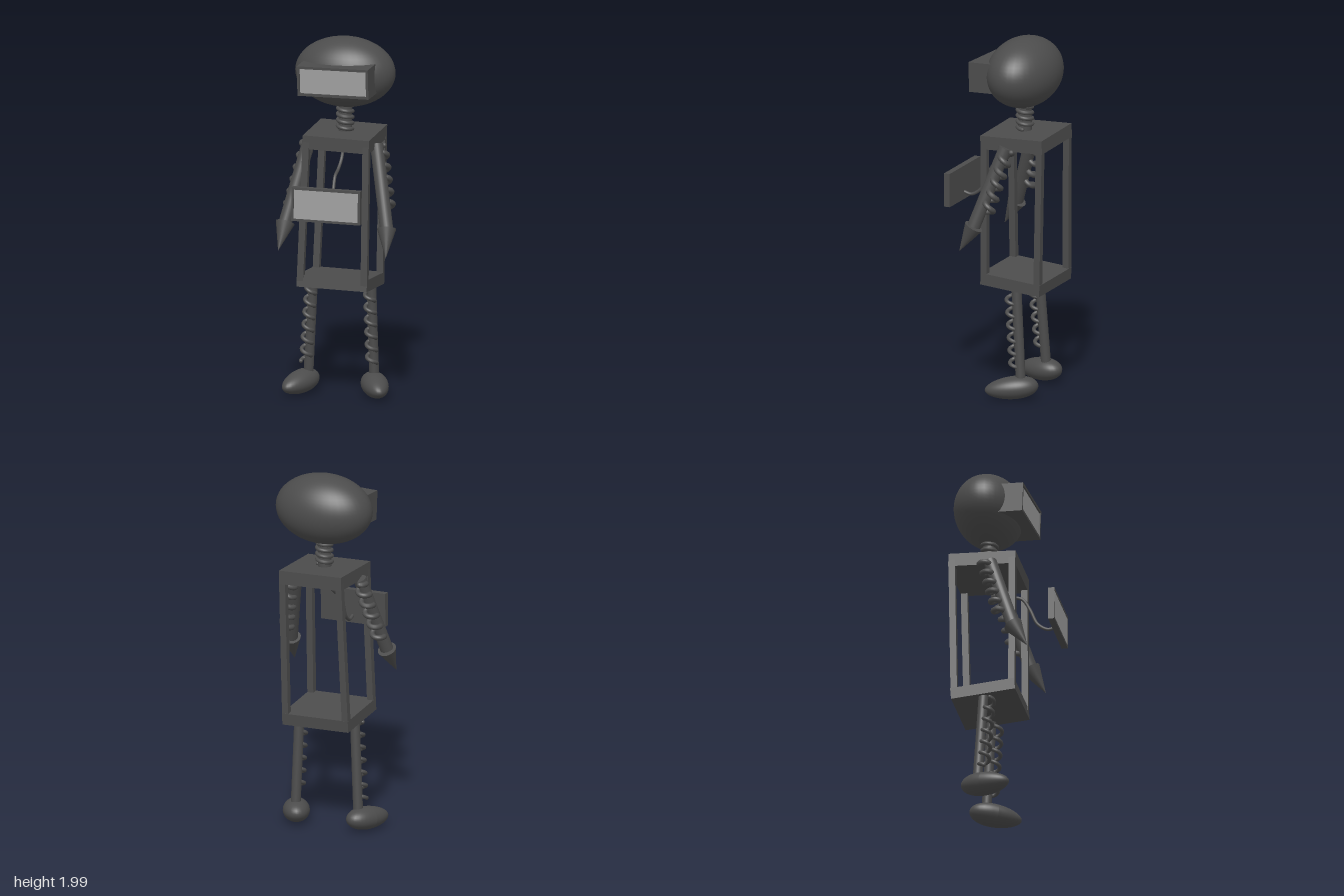
import * as THREE from 'three';

const V = (x, y, z) => new THREE.Vector3(x, y, z);
const UP = V(0, 1, 0);

export function createModel() {
  const model = new THREE.Group();
  model.name = 'robot';

  const dark = new THREE.MeshStandardMaterial({ color: 0x4c4c4c });
  dark.name = 'dark grey';
  const light = new THREE.MeshStandardMaterial({ color: 0xa0a0a0 });
  light.name = 'screen grey';

  const add = (name, geometry, material = dark, parent = model) => {
    const mesh = new THREE.Mesh(geometry, material);
    mesh.name = name;
    parent.add(mesh);
    return mesh;
  };

  // Places a geometry built along y so that it runs from a to b
  const span = (name, a, b, make, yaw = 0) => {
    const dir = b.clone().sub(a);
    const mesh = add(name, make(dir.length()));
    mesh.position.copy(a).lerp(b, 0.5);
    mesh.quaternion.setFromUnitVectors(UP, dir.normalize());
    mesh.rotateY(yaw);
    return mesh;
  };
  const rod = (name, a, b, r) => span(name, a, b, (h) => new THREE.CylinderGeometry(r, r, h, 24));

  // Spring wound around the line from a to b, with rounded ends
  const spring = (name, a, b, radius, turns, wire, phase = 0) => {
    const q = new THREE.Quaternion().setFromUnitVectors(UP, b.clone().sub(a).normalize());
    const points = [];
    const n = Math.round(turns * 12);
    for (let i = 0; i <= n; i++) {
      const t = i / n, w = phase + t * turns * Math.PI * 2;
      points.push(V(Math.cos(w) * radius, 0, Math.sin(w) * radius).applyQuaternion(q).add(a.clone().lerp(b, t)));
    }
    const group = new THREE.Group();
    group.name = name;
    model.add(group);
    const path = new THREE.CatmullRomCurve3(points);
    add(name + 'Wire', new THREE.TubeGeometry(path, n * 2, wire, 10), dark, group);
    for (const p of [points[0], points[n]]) {
      add(name + 'End', new THREE.SphereGeometry(wire, 10, 8), dark, group).position.copy(p);
    }
  };

  // Framed screen: solid body, raised rim with a hole, light plate inside
  const framedScreen = (name, w, h, depth, border, rim) => {
    const group = new THREE.Group();
    group.name = name;
    model.add(group);
    add(name + 'Body', new THREE.BoxGeometry(w, h, depth - rim), dark, group).position.z = -(depth + rim) / 2;
    const rect = (target, x, y) => {
      target.moveTo(-x, -y);
      target.lineTo(x, -y);
      target.lineTo(x, y);
      target.lineTo(-x, y);
      target.closePath();
      return target;
    };
    const shape = rect(new THREE.Shape(), w / 2, h / 2);
    shape.holes.push(rect(new THREE.Path(), w / 2 - border, h / 2 - border));
    add(name + 'Rim', new THREE.ExtrudeGeometry(shape, { depth: rim, bevelEnabled: false }), dark, group).position.z = -rim;
    add(name + 'Screen', new THREE.BoxGeometry(w - border * 2, h - border * 2, 0.004), light, group).position.z = -rim + 0.002;
    return group;
  };

  // Head and visor
  const head = add('head', new THREE.SphereGeometry(1, 40, 28));
  head.scale.set(0.278, 0.193, 0.19);
  head.position.set(0.016, 1.807, -0.1);
  head.rotation.y = -0.08;
  const visor = framedScreen('visor', 0.405, 0.165, 0.2, 0.014, 0.012);
  visor.position.set(-0.006, 1.792, 0.133);
  visor.rotation.set(0.04, -0.11, 0.02);

  // Neck
  rod('neck', V(0.014, 1.44, -0.1), V(0.016, 1.66, -0.1), 0.037);
  spring('neckSpring', V(0.014, 1.49, -0.1), V(0.016, 1.62, -0.1), 0.04, 4, 0.011);

  // Open torso: two slabs joined by four posts
  const slab = (name, w, h, d, pos, tiltX) => {
    const mesh = add(name, new THREE.BoxGeometry(w, h, d));
    mesh.position.copy(pos);
    mesh.rotation.set(tiltX, -0.065, -0.025);
    mesh.updateMatrix();
    return mesh;
  };
  const topSlab = slab('torsoTop', 0.372, 0.075, 0.37, V(0.012, 1.443, -0.105), 0.035);
  const bottomSlab = slab('torsoBottom', 0.395, 0.065, 0.355, V(-0.01, 0.652, -0.095), -0.085);
  const post = 0.036;
  for (const sx of [-1, 1]) {
    for (const sz of [-1, 1]) {
      const a = V(sx * (0.395 - post) / 2, 0, sz * (0.355 - post) / 2).applyMatrix4(bottomSlab.matrix);
      const b = V(sx * (0.372 - post) / 2, 0, sz * (0.37 - post) / 2).applyMatrix4(topSlab.matrix);
      span('torsoPost', a, b, (h) => new THREE.BoxGeometry(post, h, post), -0.065);
    }
  }

  // Arms with an offset spring and a pointed hand
  const arms = [
    { side: 'left', shoulder: V(0.197, 1.42, -0.06), wrist: V(0.284, 0.985, 0.09), tip: V(0.296, 0.84, 0.17),
      coil: [V(0.216, 1.41, -0.08), V(0.28, 1.06, 0.015)] },
    { side: 'right', shoulder: V(-0.178, 1.42, -0.07), wrist: V(-0.282, 0.99, 0.068), tip: V(-0.304, 0.85, 0.15),
      coil: [V(-0.193, 1.41, -0.1), V(-0.27, 1.06, -0.005)] },
  ];
  for (const { side, shoulder, wrist, tip, coil } of arms) {
    rod(side + 'Arm', shoulder, wrist, 0.036);
    span(side + 'Hand', wrist, tip, (h) => new THREE.ConeGeometry(0.052, h, 32));
    spring(side + 'ArmSpring', coil[0], coil[1], 0.029, 5.5, 0.015, side === 'left' ? 0 : Math.PI);
  }

  // Legs with a spring in front, and feet turned outwards
  const legs = [
    { side: 'left', hip: V(0.157, 0.64, -0.108), ankle: V(0.168, 0.1, -0.138), foot: V(0.183, 0.072, -0.09), yaw: 0.38,
      coil: [V(0.155, 0.605, -0.075), V(0.163, 0.185, -0.103)] },
    { side: 'right', hip: V(-0.165, 0.64, -0.108), ankle: V(-0.197, 0.1, -0.138), foot: V(-0.233, 0.074, -0.09), yaw: -0.4,
      coil: [V(-0.17, 0.605, -0.075), V(-0.204, 0.185, -0.103)] },
  ];
  for (const { side, hip, ankle, foot, yaw, coil } of legs) {
    rod(side + 'Leg', hip, ankle, 0.027);
    spring(side + 'LegSpring', coil[0], coil[1], 0.027, 6, 0.011, Math.PI / 2);
    // Egg-shaped foot, fuller towards the heel
    const geometry = new THREE.SphereGeometry(1, 32, 24);
    const p = geometry.attributes.position;
    for (let i = 0; i < p.count; i++) {
      const k = 1 - 0.14 * p.getZ(i);
      p.setXYZ(i, p.getX(i) * 0.073 * k, p.getY(i) * 0.062 * k, p.getZ(i) * 0.146);
    }
    geometry.computeVertexNormals();
    const mesh = add(side + 'Foot', geometry);
    mesh.position.copy(foot);
    mesh.rotation.set(0.1, yaw, 0, 'YXZ');
  }

  // Tablet held out in front on a curved cable
  const tablet = framedScreen('tablet', 0.385, 0.187, 0.034, 0.013, 0.006);
  tablet.position.set(-0.01, 1.143, 0.294);
  tablet.rotation.set(0, -0.058, -0.01);
  const cable = new THREE.CatmullRomCurve3([
    V(-0.004, 1.09, 0.265), V(-0.004, 1.08, 0.22), V(-0.004, 1.115, 0.165), V(-0.003, 1.2, 0.125),
    V(-0.002, 1.265, 0.085), V(0.003, 1.29, 0.03), V(0.012, 1.34, -0.02), V(0.018, 1.42, -0.05),
  ]);
  add('cable', new THREE.TubeGeometry(cable, 60, 0.009, 12));

  return model;
}
